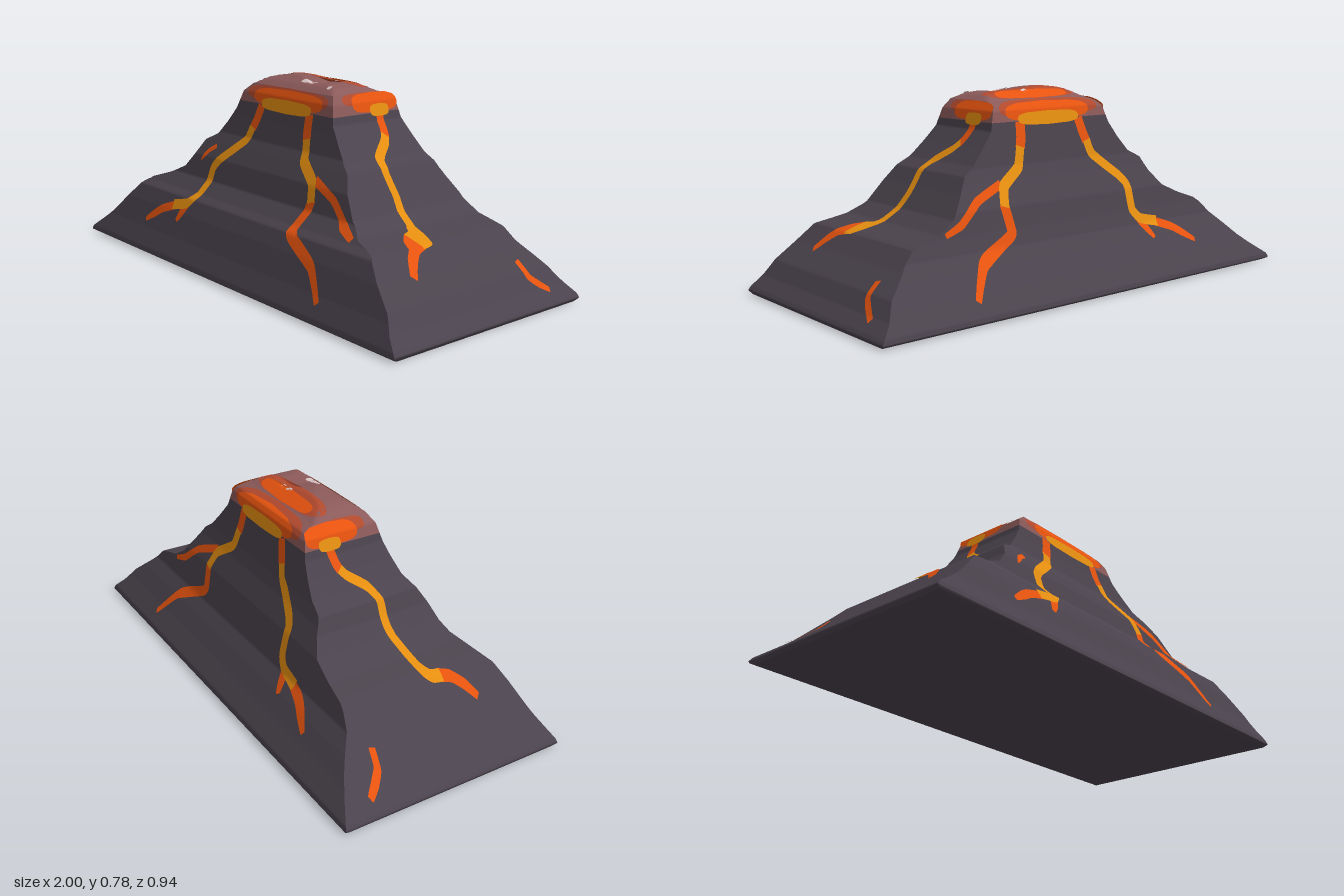
import * as THREE from 'three';

const mat = (name, color, side = THREE.FrontSide) => {
  const m = new THREE.MeshStandardMaterial({ color, side });
  m.name = name;
  return m;
};
const D = THREE.DoubleSide;
const rock = mat('rock', 0x4b434d);
const ash = mat('scorched rim', 0x8c5a5a);
const red = mat('dull red lava', 0xb24a2e, D);
const orange = mat('orange lava', 0xe8540f, D);
const yellow = mat('yellow lava', 0xe68f10, D);
const pale = mat('pale glow', 0xd8c4c4, D);

// Slope profiles as [height, distance]
const XL = [[0, -0.99], [0.015, -1], [0.03, -0.99], [0.08, -0.92], [0.12, -0.87], [0.2, -0.79], [0.27, -0.72], [0.29, -0.69],
  [0.32, -0.6], [0.36, -0.51], [0.42, -0.46], [0.48, -0.43], [0.51, -0.37], [0.57, -0.32], [0.63, -0.28], [0.70, -0.255], [0.735, -0.21]];
const XR = [[0, 0.99], [0.015, 1], [0.03, 0.99], [0.07, 0.95], [0.13, 0.91], [0.2, 0.83], [0.265, 0.765], [0.283, 0.7],
  [0.295, 0.65], [0.34, 0.58], [0.42, 0.52], [0.48, 0.48], [0.51, 0.435], [0.57, 0.38], [0.63, 0.33], [0.70, 0.31], [0.735, 0.285]];
const ZF = [[0, 0.45], [0.01, 0.47], [0.03, 0.465], [0.1, 0.43], [0.2, 0.39], [0.26, 0.36], [0.28, 0.33], [0.33, 0.28],
  [0.42, 0.25], [0.48, 0.215], [0.52, 0.19], [0.6, 0.165], [0.7, 0.14], [0.735, 0.12]];
const ZB = [[0, -0.45], [0.01, -0.47], [0.03, -0.465], [0.1, -0.41], [0.17, -0.36], [0.22, -0.32], [0.28, -0.30], [0.36, -0.28],
  [0.45, -0.235], [0.5, -0.215], [0.6, -0.195], [0.7, -0.175], [0.72, -0.16], [0.735, -0.11]];
// Summit height as seen along each axis
const TOPX = [[-0.21, 0.735], [-0.17, 0.76], [-0.13, 0.77], [-0.04, 0.78], [0.03, 0.772], [0.1, 0.757], [0.19, 0.765], [0.25, 0.755], [0.285, 0.735]];
const TOPZ = [[-0.11, 0.735], [-0.06, 0.76], [-0.03, 0.775], [0, 0.78], [0.04, 0.775], [0.09, 0.755], [0.12, 0.735]];
const RIM = 0.735, BAND = 0.66;

const lerpTable = (t, k) => {
  if (k <= t[0][0]) return t[0][1];
  for (let i = 1; i < t.length; i++) {
    const [a, p] = t[i - 1], [b, q] = t[i];
    if (k <= b) return p + (q - p) * (k - a) / (b - a);
  }
  return t[t.length - 1][1];
};
const { clamp } = THREE.MathUtils;

// The four slopes: own profile, limiting profiles, axis and outward sign
const FACES = {
  front: { p: ZF, lo: XL, hi: XR, axis: 'z', s: 1, flip: false },
  back: { p: ZB, lo: XL, hi: XR, axis: 'z', s: -1, flip: true },
  right: { p: XR, lo: ZB, hi: ZF, axis: 'x', s: 1, flip: true },
  left: { p: XL, lo: ZB, hi: ZF, axis: 'x', s: -1, flip: false },
};
const onFace = (f, u, y, off = 0) => {
  const h = clamp(y, 0, RIM);
  const w = clamp(u, lerpTable(f.lo, h) - off, lerpTable(f.hi, h) + off);
  const d = lerpTable(f.p, h) + f.s * off;
  return f.axis === 'z' ? [w, h + off * 0.6, d] : [d, h + off * 0.6, w];
};
const onTop = (x, z, off = 0) => [x, Math.min(lerpTable(TOPX, x), lerpTable(TOPZ, z)) + off, z];

// Grid surface from fn(u, v) with u and v in 0..1
function surface(name, material, nu, nv, flip, fn) {
  const pos = [], idx = [], n = nu + 1;
  for (let j = 0; j <= nv; j++) for (let i = 0; i <= nu; i++) pos.push(...fn(i / nu, j / nv));
  for (let j = 0; j < nv; j++) for (let i = 0; i < nu; i++) {
    const a = j * n + i, b = a + 1, c = a + n, d = c + 1;
    if (flip) idx.push(a, d, b, a, c, d);
    else idx.push(a, b, d, a, d, c);
  }
  const g = new THREE.BufferGeometry();
  g.setAttribute('position', new THREE.Float32BufferAttribute(pos, 3));
  g.setIndex(idx);
  g.computeVertexNormals();
  const mesh = new THREE.Mesh(g, material);
  mesh.name = name;
  return mesh;
}

// Lava stream laid on a slope along [u, y] points
function stream(name, f, material, width, pts, tip = 1, off = 0.004) {
  const curve = new THREE.CatmullRomCurve3(pts.map(([u, y]) => new THREE.Vector3(u, y, 0)), false, 'catmullrom', 0.25);
  const steps = Math.ceil(curve.getLength() / 0.008);
  return surface(name, material, 4, steps, f.flip, (a, t) => {
    const p = curve.getPoint(t), d = curve.getTangent(t);
    const w = width * (a - 0.5) * (t > 0.7 ? 1 + (tip - 1) * (t - 0.7) / 0.3 : 1);
    return onFace(f, p.x + d.y * w, p.y - d.x * w, off);
  });
}

// Rounded outline inside a box: returns [u, v] in that box
const blob = (a, t, [u0, u1, v0, v1]) => {
  const half = (u1 - u0) / 2 * Math.cbrt(Math.max(0, 1 - Math.abs(2 * t - 1) ** 3));
  return [(u0 + u1) / 2 + (2 * a - 1) * half, v0 + (v1 - v0) * t];
};
const facePatch = (name, f, material, box, off) =>
  surface(name, material, 16, 20, f.flip, (a, t) => onFace(f, ...blob(a, t, box), off));
const topPatch = (name, material, box, off) =>
  surface(name, material, 14, 14, true, (a, t) => onTop(...blob(a, t, box), off));

export function createModel() {
  const model = new THREE.Group();
  model.name = 'volcano';

  // Slopes, scorched rim band, summit and underside
  for (const [key, f] of Object.entries(FACES)) {
    const slope = (name, m, y0, y1, rows) => surface(name, m, 4, rows, f.flip, (a, t) => {
      const y = y0 + (y1 - y0) * t;
      const lo = lerpTable(f.lo, y), hi = lerpTable(f.hi, y);
      return onFace(f, lo + (hi - lo) * a, y);
    });
    model.add(slope(key + 'Slope', rock, 0, BAND, 132), slope(key + 'Rim', ash, BAND, RIM, 15));
  }
  model.add(surface('summit', ash, 33, 23, true, (a, t) => onTop(-0.21 + 0.495 * a, -0.11 + 0.23 * t)));
  model.add(surface('underside', rock, 1, 1, false, (a, t) => [-0.99 + 1.98 * a, 0, -0.45 + 0.9 * t]));

  // Streams on the two long slopes
  for (const key of ['front', 'back']) {
    const f = FACES[key];
    const add = (...args) => model.add(stream(key + 'Stream', f, ...args));
    add(orange, 0.045, [[-0.11, 0.655], [-0.125, 0.6], [-0.14, 0.56]]);
    add(yellow, 0.04, [[-0.14, 0.565], [-0.16, 0.51], [-0.27, 0.42], [-0.3, 0.38], [-0.305, 0.28], [-0.34, 0.24], [-0.43, 0.22]], 1, 0.005);
    add(orange, 0.035, [[-0.41, 0.222], [-0.5, 0.19], [-0.595, 0.13]], 0.5);
    add(orange, 0.035, [[-0.32, 0.26], [-0.345, 0.22], [-0.375, 0.165]], 0.5);
    add(orange, 0.045, [[0.19, 0.655], [0.195, 0.6], [0.205, 0.56]]);
    add(yellow, 0.04, [[0.205, 0.565], [0.23, 0.49], [0.32, 0.43], [0.345, 0.36]], 1, 0.005);
    add(orange, 0.03, [[0.33, 0.44], [0.46, 0.39], [0.55, 0.32], [0.625, 0.29]], 0.6);
    add(orange, 0.042, [[0.345, 0.37], [0.33, 0.27], [0.36, 0.245], [0.5, 0.18], [0.585, 0.075]], 0.5);
  }
  model.add(stream('smallStreak', FACES.front, orange, 0.02, [[-0.33, 0.465], [-0.37, 0.44], [-0.4, 0.4]], 0.4));

  // Streams on the two short slopes
  for (const key of ['right', 'left']) {
    const f = FACES[key];
    const add = (...args) => model.add(stream(key + 'Stream', f, ...args));
    add(orange, 0.035, [[-0.08, 0.655], [-0.07, 0.6], [-0.06, 0.575]]);
    add(yellow, 0.033, [[-0.062, 0.58], [-0.04, 0.555], [0.025, 0.51], [0.042, 0.47], [0.04, 0.39], [0.06, 0.3], [0.085, 0.277], [0.125, 0.272]], 1, 0.005);
    add(orange, 0.035, [[0.115, 0.273], [0.16, 0.262], [0.2, 0.232], [0.235, 0.19]], 0.7);
    add(orange, 0.025, [[-0.255, 0.165], [-0.265, 0.115], [-0.3, 0.085], [-0.34, 0.06]], 0.7);
  }

  // Layered glow around the crater rim
  const longGlow = [[red, -0.22, 0.28, 0.67, 0.735], [orange, -0.17, 0.255, 0.655, 0.727], [yellow, -0.11, 0.2, 0.638, 0.69]];
  const shortGlow = [[red, -0.12, 0.09, 0.69, 0.735], [orange, -0.175, 0.05, 0.66, 0.733], [yellow, -0.125, -0.03, 0.643, 0.69]];
  for (const [key, f] of Object.entries(FACES)) {
    (f.axis === 'z' ? longGlow : shortGlow).forEach(([m, ...box], i) =>
      model.add(facePatch(key + 'Glow', f, m, box, 0.003 + 0.002 * i)));
  }

  // Glow and pale flecks on the summit
  model.add(topPatch('summitGlow', red, [-0.19, 0.26, -0.11, -0.01], 0.002));
  model.add(topPatch('summitLava', orange, [-0.14, 0.22, -0.11, -0.05], 0.004));
  for (const [x, z, w, d] of [[0.06, -0.055, 0.03, 0.02], [0.11, -0.05, 0.03, 0.02], [0.07, 0.07, 0.05, 0.03], [0.11, 0.07, 0.03, 0.03], [0.23, 0.09, 0.02, 0.02]]) {
    model.add(topPatch('paleFleck', pale, [x - w / 2, x + w / 2, z - d / 2, z + d / 2], 0.004));
  }
  return model;
}
